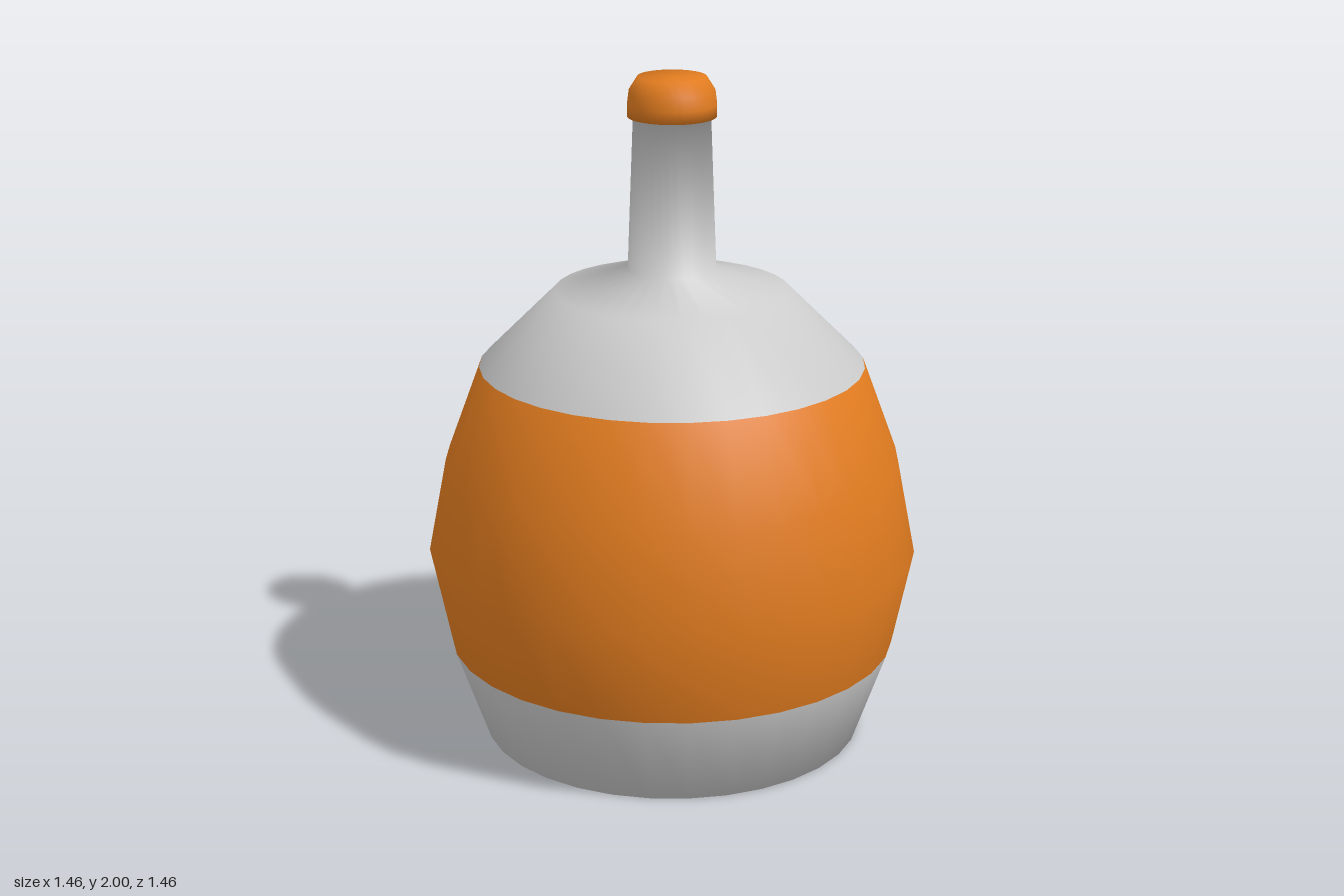
import * as THREE from 'three';

const SEGMENTS = 32;

// Outer profile [radius, height], from the base centre to the top of the stopper
const PROFILE = [
  [0, 0], [0.57, 0], [0.67, 0.285], [0.73, 0.575], [0.675, 0.86], [0.57, 1.145],
  [0.345, 1.37], [0.13, 1.435], [0.113, 1.885], [0.13, 1.885], [0.13, 1.92],
  [0.125, 1.96], [0.1, 2], [0, 2],
].map(([r, y]) => new THREE.Vector2(r, y));

// Colour bands: name, first and last profile point, colour
const BANDS = [
  ['base', 0, 2, 0xcccccc],
  ['bodyWrap', 2, 5, 0xe07b1f],
  ['shoulder', 5, 7, 0xcccccc],
  ['neck', 7, 8, 0xcccccc],
  ['stopper', 8, 13, 0xe07b1f],
];

// Smooth profile normals, each adjoining edge counting equally
function profileNormals(points) {
  const edges = points.slice(1).map((p, i) => {
    const d = p.clone().sub(points[i]).normalize();
    return new THREE.Vector2(d.y, -d.x);
  });
  return points.map((_, i) => {
    const a = edges[Math.max(i - 1, 0)];
    const b = edges[Math.min(i, edges.length - 1)];
    return a.clone().add(b).normalize();
  });
}

// Turned band whose normals run on smoothly into its neighbours
function makeBand(name, first, last, color, normals) {
  const points = PROFILE.slice(first, last + 1);
  const geometry = new THREE.LatheGeometry(points, SEGMENTS);
  const normal = geometry.attributes.normal;
  for (let i = 0; i <= SEGMENTS; i++) {
    const angle = (i / SEGMENTS) * Math.PI * 2;
    points.forEach((_, j) => {
      const n = normals[first + j];
      normal.setXYZ(i * points.length + j, n.x * Math.sin(angle), n.y, n.x * Math.cos(angle));
    });
  }
  const mesh = new THREE.Mesh(geometry, new THREE.MeshStandardMaterial({ color }));
  mesh.name = name;
  return mesh;
}

export function createModel() {
  const group = new THREE.Group();
  group.name = 'bottle';
  const normals = profileNormals(PROFILE);
  for (const [name, first, last, color] of BANDS) {
    group.add(makeBand(name, first, last, color, normals));
  }
  return group;
}
